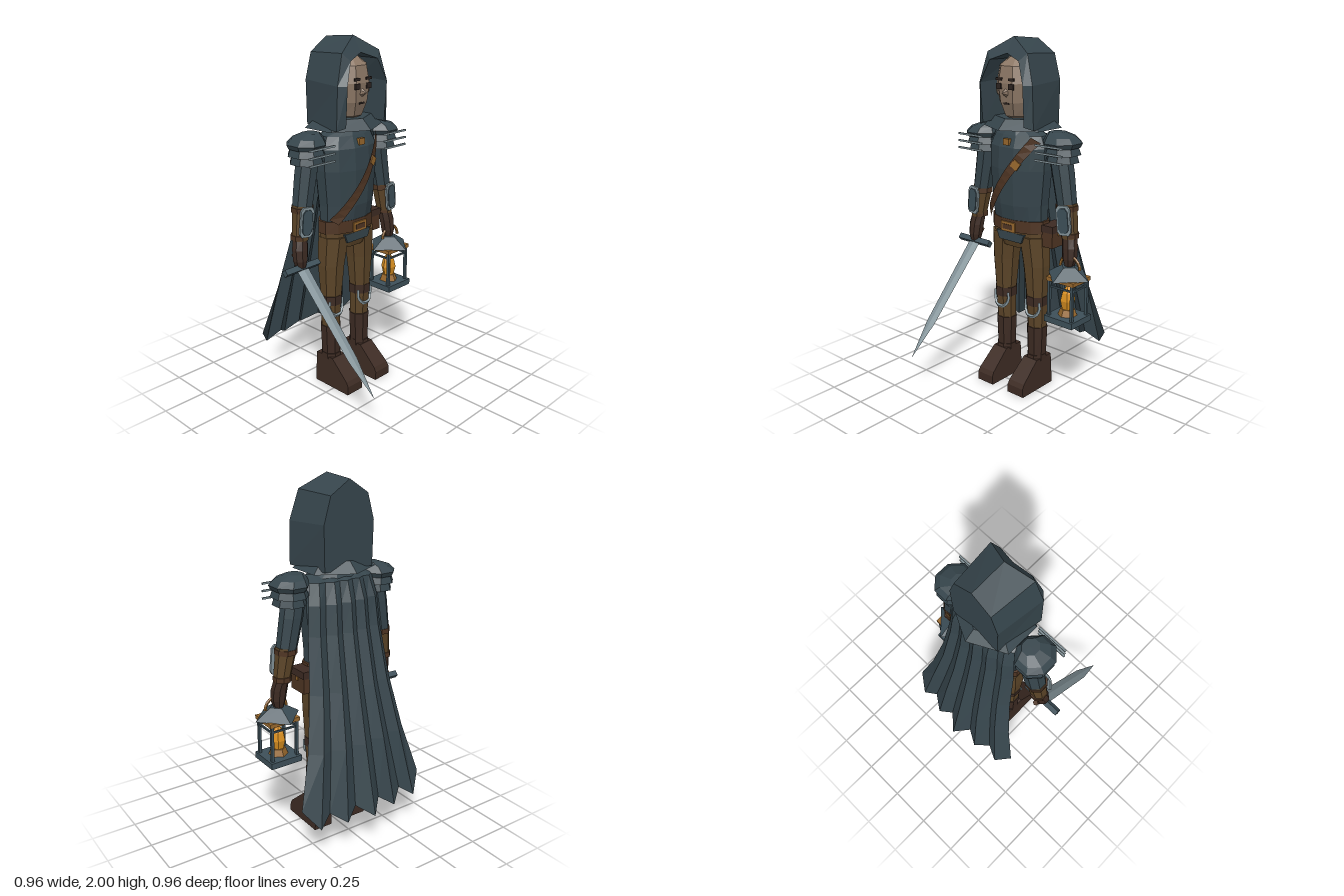
import * as THREE from 'three';

const mat = (name, color, side = THREE.FrontSide) => {
  const m = new THREE.MeshStandardMaterial({ color, side });
  m.name = name;
  return m;
};

// Faceted surface through rows of [x, y, z] points
function grid(rows, tris = []) {
  const p = [];
  for (let j = 0; j + 1 < rows.length; j++)
    for (let i = 0; i + 1 < rows[j].length; i++) {
      const a = rows[j][i], b = rows[j][i + 1], c = rows[j + 1][i + 1], d = rows[j + 1][i];
      p.push(...a, ...b, ...c, ...a, ...c, ...d);
    }
  tris.forEach(t => p.push(...t.flat()));
  const g = new THREE.BufferGeometry();
  g.setAttribute('position', new THREE.Float32BufferAttribute(p, 3));
  return g;
}

// Capped loft through elliptical rings [y, rx, rz, cx, cz], lowest first
function loft(rings, n = 8) {
  const rows = rings.map(([y, rx, rz, cx = 0, cz = 0]) => Array.from({ length: n + 1 }, (_, i) => {
    const a = ((i + 0.5) / n) * Math.PI * 2;
    return [cx + rx * Math.sin(a), y, cz + rz * Math.cos(a)];
  }));
  const caps = [], mid = ([y, , , cx = 0, cz = 0]) => [cx, y, cz];
  const lo = rows[0], hi = rows.at(-1);
  for (let i = 0; i < n; i++) {
    caps.push([mid(rings[0]), lo[i + 1], lo[i]]);
    caps.push([mid(rings.at(-1)), hi[i], hi[i + 1]]);
  }
  return grid(rows, caps);
}

const outline = pts => new THREE.Shape(pts.map(p => new THREE.Vector2(...p)));
const slab = (pts, depth) => new THREE.ExtrudeGeometry(outline(pts), { depth, bevelEnabled: false });

export function createModel() {
  const M = {
    cloth: mat('slate cloth', 0x36454c, THREE.DoubleSide),
    iron: mat('dark iron', 0x3e5059),
    steel: mat('pale steel', 0x84949a),
    trousers: mat('brown trousers', 0x5c4528),
    leather: mat('leather', 0x4f3523, THREE.DoubleSide),
    boot: mat('dark boot leather', 0x3d2b23),
    brass: mat('brass', 0x98682d),
    skin: mat('skin', 0x8d7866),
    flame: mat('flame', 0xdc9222),
    dark: mat('dark features', 0x2c2320),
  };
  const root = new THREE.Group();
  root.name = 'hoodedTraveller';
  const body = new THREE.Group();
  body.name = 'body';
  body.position.x = -0.01;
  root.add(body);

  const add = (name, geo, m, x = 0, y = 0, z = 0, parent = body) => {
    const g = geo.index ? geo.toNonIndexed() : geo;
    g.computeVertexNormals();
    const mesh = new THREE.Mesh(g, m);
    mesh.name = name;
    mesh.position.set(x, y, z);
    parent.add(mesh);
    return mesh;
  };
  const box = (w, h, d) => new THREE.BoxGeometry(w, h, d);
  const cyl = (a, b, h, n) => new THREE.CylinderGeometry(a, b, h, n);
  const Z = -0.07;

  // Torso, hips and belt
  add('tunic', loft([[0.95, 0.175, 0.095, 0, Z], [1.1, 0.178, 0.125, 0, Z], [1.3, 0.198, 0.135, 0, Z],
    [1.42, 0.2, 0.128, 0, Z], [1.485, 0.17, 0.1, 0, Z], [1.52, 0.09, 0.08, 0, Z]], 12), M.cloth);
  add('hips', loft([[0.85, 0.15, 0.08, 0, Z], [0.9, 0.185, 0.095, 0, Z], [0.97, 0.185, 0.1, 0, Z]], 12), M.trousers);
  add('belt', loft([[0.945, 0.192, 0.108, 0, Z], [1.015, 0.19, 0.11, 0, Z]], 12), M.leather);
  add('buckle', box(0.1, 0.055, 0.014), M.brass, 0, 0.972, 0.038);
  add('bucklePlate', box(0.07, 0.028, 0.008), M.leather, 0, 0.972, 0.044);
  add('tunicFlap', slab([[-0.1, 0.935], [-0.08, 0.885], [0.08, 0.885], [0.1, 0.935]], 0.025), M.cloth);
  add('pouch', box(0.08, 0.12, 0.12), M.leather, 0.21, 0.935, -0.1);
  add('pouchFlap', box(0.088, 0.04, 0.128), M.boot, 0.21, 0.98, -0.1);
  add('pouchStud', box(0.02, 0.02, 0.02), M.brass, 0.248, 0.95, -0.1);

  // Chest strap wrapped over the tunic
  const strap = [[], []];
  for (let i = 0; i <= 10; i++) {
    const t = i / 10, x = -0.165 + 0.33 * t, y = 1.02 + 0.45 * t;
    const rz = 0.12 + 0.024 * Math.sin(Math.PI * t);
    [-1, 1].forEach((s, k) => {
      const px = x - s * 0.02;
      strap[k].push([px, y + s * 0.015, Z + 0.006 + rz * Math.sqrt(1 - Math.min(0.9, (px / 0.205) ** 2))]);
    });
  }
  add('chestStrap', grid([strap[1], strap[0]]), M.leather);
  add('strapBuckle', box(0.045, 0.045, 0.012), M.brass, 0.075, 1.335, 0.064).rotation.set(0, 0.25, -0.62);
  add('clasp', box(0.04, 0.035, 0.02), M.brass, 0, 1.45, 0.046);

  // Head and face
  add('head', loft([[1.47, 0.06, 0.06, 0, -0.06], [1.575, 0.06, 0.06, 0, -0.05], [1.585, 0.075, 0.08, 0, -0.05],
    [1.66, 0.112, 0.108, 0, -0.05], [1.76, 0.126, 0.12, 0, -0.05], [1.85, 0.108, 0.105, 0, -0.05],
    [1.895, 0.05, 0.05, 0, -0.05]], 8), M.skin);
  for (const s of [-1, 1]) {
    add('eye', box(0.034, 0.03, 0.009), M.dark, s * 0.043, 1.745, 0.062);
    add('brow', box(0.04, 0.014, 0.009), M.dark, s * 0.043, 1.782, 0.061);
    add('ear', new THREE.IcosahedronGeometry(0.025, 0), M.skin, s * 0.128, 1.71, -0.04).scale.set(0.7, 1.4, 1);
  }
  const nose = add('nose', new THREE.ConeGeometry(0.02, 0.04, 6), M.skin, 0, 1.712, 0.07);
  nose.rotation.x = Math.PI / 2;
  nose.scale.z = 1.3;
  add('mouth', box(0.034, 0.009, 0.009), M.dark, 0, 1.655, 0.05);

  // Hood: half outlines mirrored, from back wall round the rim to the lining
  const arch = half => [...half.map(([x, y, z]) => [-x, y, z]), ...half.slice(0, -1).reverse()];
  const back = arch([[0.15, 1.53, -0.21], [0.155, 1.77, -0.21], [0.115, 1.91, -0.21], [0, 1.985, -0.21]]);
  const hood = [
    back,
    arch([[0.19, 1.53, 0.055], [0.185, 1.76, 0.06], [0.138, 1.92, 0.045], [0, 2, -0.01]]),
    arch([[0.145, 1.545, 0.08], [0.148, 1.76, 0.095], [0.1, 1.88, 0.07], [0, 1.915, 0.045]]),
    arch([[0.135, 1.55, -0.1], [0.135, 1.77, -0.1], [0.1, 1.88, -0.1], [0, 1.91, -0.1]]),
  ];
  const wall = back.slice(1).map((p, i) => [[0, 1.7, -0.21], back[i], p]);
  wall.push([[0, 1.7, -0.21], back[6], back[0]]);
  add('hood', grid(hood, wall), M.cloth);
  add('hoodCollar', cyl(0.14, 0.2, 0.055, 6), M.cloth, 0, 1.547, -0.08).scale.x = 1.13;

  // Pleated cape wrapping forward at its sides: [y, half width, z, pleat depth] rows
  const capeRows = [[1.5, 0.18, -0.12, 0], [1.47, 0.2, -0.195, 0.015], [1.36, 0.222, -0.225, 0.025],
    [1.2, 0.235, -0.242, 0.03], [0.9, 0.265, -0.3, 0.035], [0.6, 0.32, -0.365, 0.04], [0.28, 0.4, -0.43, 0.05]];
  const cape = capeRows.map(([y, w, z, d], j) => Array.from({ length: 11 }, (_, i) => {
    const u = i / 5 - 1, ridge = i % 2, last = j === capeRows.length - 1;
    const hem = last ? (ridge ? -0.075 : 0.05 * u ** 8 - 0.02) : 0;
    const tail = last && i === 5 ? 0.025 : 0;
    return [u * w, y + hem, z + 0.045 * u * u + (ridge ? -d / 2 : d / 2) - tail];
  }));
  add('cape', grid(cape), M.cloth);

  for (const s of [-1, 1]) {
    // Legs and boots
    const x = s * 0.117;
    add('trouserLeg', loft([[0.36, 0.056, 0.055, x, -0.08], [0.55, 0.062, 0.062, x, -0.075],
      [0.75, 0.079, 0.08, s * 0.113, -0.075], [0.92, 0.09, 0.092, s * 0.098, Z]]), M.trousers);
    add('kneeStrap', loft([[0.51, 0.065, 0.065, x, -0.076], [0.565, 0.067, 0.067, x, -0.076]]), M.boot);
    add('bootShaft', loft([[0.16, 0.053, 0.056, x, -0.08], [0.375, 0.062, 0.062, x, -0.08]]), M.boot);
    add('bootCuff', loft([[0.165, 0.056, 0.064, x, -0.08], [0.2, 0.056, 0.062, x, -0.08]]), M.boot);
    const foot = slab([[-0.15, 0], [0.115, 0], [0.115, 0.05], [0.1, 0.075], [-0.02, 0.18], [-0.15, 0.18]], 0.118);
    foot.rotateY(-Math.PI / 2).translate(0.059, 0, 0);
    const fp = foot.attributes.position;
    for (let i = 0; i < fp.count; i++) fp.setX(i, fp.getX(i) * (1 - fp.getY(i)));
    add('bootFoot', foot, M.boot, x);
    const knee = new THREE.CatmullRomCurve3([[-0.05, 0.54], [-0.05, 0.485], [-0.025, 0.45], [0.025, 0.45], [0.05, 0.485], [0.05, 0.54]]
      .map(([kx, ky]) => new THREE.Vector3(kx, ky, -Math.abs(kx) * 0.5)));
    add('kneeRim', new THREE.TubeGeometry(knee, 12, 0.01, 4), M.steel, x, 0, -0.01);

    // Arms and gloves
    add('sleeve', loft([[1.13, 0.058, 0.058, s * 0.308, -0.088], [1.3, 0.065, 0.064, s * 0.277, -0.09],
      [1.46, 0.065, 0.065, s * 0.25, -0.085]]), M.cloth);
    add('bracer', loft([[0.95, 0.046, 0.046, s * 0.338, -0.08], [1.14, 0.06, 0.057, s * 0.308, -0.088]]), M.trousers);
    for (const [y, r, cx] of [[1.115, 0.063, 0.311], [0.965, 0.051, 0.336]])
      add('bracerStrap', loft([[y - 0.014, r, r, s * cx, -0.085], [y + 0.014, r, r, s * cx, -0.085]]), M.leather);
    add('glove', loft([[0.8, 0.028, 0.032, s * 0.352, -0.065], [0.84, 0.042, 0.04, s * 0.352, -0.065],
      [0.9, 0.046, 0.042, s * 0.348, -0.07], [0.96, 0.042, 0.042, s * 0.338, -0.08]]), M.boot);
    // Forearm plate with a pale chamfered rim
    const guard = new THREE.Group();
    guard.name = 'bracerGuard';
    guard.position.set(s * 0.332, 1.055, -0.036);
    guard.rotation.set(0, s * 0.1, s * 0.1);
    body.add(guard);
    const plate = (w, h) => slab([[-w, -h + 0.02], [-w + 0.015, -h], [w - 0.015, -h], [w, -h + 0.02],
      [w, h - 0.02], [w - 0.015, h], [-w + 0.015, h], [-w, h - 0.02]], 0.012);
    add('guardRim', plate(0.042, 0.082), M.steel, 0, 0, 0, guard);
    add('guardPlate', plate(0.031, 0.068), M.iron, 0, 0, 0.006, guard);

    // Layered shoulder armour with front rods
    const px = s * 0.28, pz = -0.078;
    add('shoulderCap', loft([[1.44, 0.094, 0.104, px, pz], [1.465, 0.106, 0.116, px, pz], [1.495, 0.085, 0.09, px - s * 0.01, pz],
      [1.517, 0.045, 0.05, px - s * 0.035, pz]]), M.cloth);
    add('shoulderLayer', loft([[1.402, 0.1, 0.11, px, pz], [1.45, 0.082, 0.092, px, pz]]), M.cloth);
    add('shoulderLayer', loft([[1.36, 0.09, 0.1, px, pz], [1.41, 0.075, 0.085, px, pz]]), M.cloth);
    for (const y of [1.455, 1.415, 1.375])
      add('shoulderRod', box(0.18, 0.01, 0.01), M.steel, px, y, 0.042);
  }

  // Sword, pointing down and forward along its own -y
  const sword = new THREE.Group();
  sword.name = 'sword';
  sword.position.set(-0.36, 0.795, -0.057);
  sword.rotation.x = -0.75;
  root.add(sword);
  add('crossguard', box(0.24, 0.032, 0.032), M.iron, 0, 0, 0, sword);
  add('grip', cyl(0.016, 0.016, 0.08, 6), M.leather, 0, 0.05, 0, sword);
  add('blade', cyl(0.04, 0.032, 0.56, 4), M.steel, 0, -0.28, 0, sword).scale.z = 0.2;
  add('bladeTip', cyl(0.032, 0, 0.23, 4), M.steel, 0, -0.675, 0, sword).scale.z = 0.2;

  // Lantern
  const lantern = new THREE.Group();
  lantern.name = 'lantern';
  lantern.position.set(0.343, 0, -0.055);
  root.add(lantern);
  const part = (name, geo, m, x, y, z) => add(name, geo, m, x, y, z, lantern);
  part('lanternRoof', cyl(0.045, 0.137, 0.06, 4), M.iron, 0, 0.767, 0);
  part('lanternTop', box(0.185, 0.022, 0.16), M.brass, 0, 0.728, 0);
  part('lanternBase', box(0.19, 0.035, 0.18), M.iron, 0, 0.495, 0);
  part('lanternFoot', box(0.13, 0.012, 0.13), M.brass, 0, 0.474, 0);
  for (const sx of [-1, 1]) {
    for (const sz of [-1, 1])
      part('lanternPost', box(0.016, 0.22, 0.016), M.iron, sx * 0.077, 0.615, sz * 0.067);
    part('lanternRail', box(0.154, 0.01, 0.01), M.iron, 0, 0.685, sx * 0.067);
    part('lanternRail', box(0.01, 0.01, 0.134), M.iron, sx * 0.077, 0.685, 0);
  }
  part('burner', cyl(0.04, 0.055, 0.04, 6), M.brass, 0, 0.53, 0);
  part('flame', loft([[0.54, 0.03, 0.03], [0.6, 0.044, 0.044], [0.645, 0.034, 0.034], [0.69, 0.004, 0.004]], 6), M.flame, 0, 0, 0);
  part('handle', new THREE.TorusGeometry(0.066, 0.009, 5, 10, Math.PI), M.brass, 0.01, 0.79, 0);

  return root;
}
